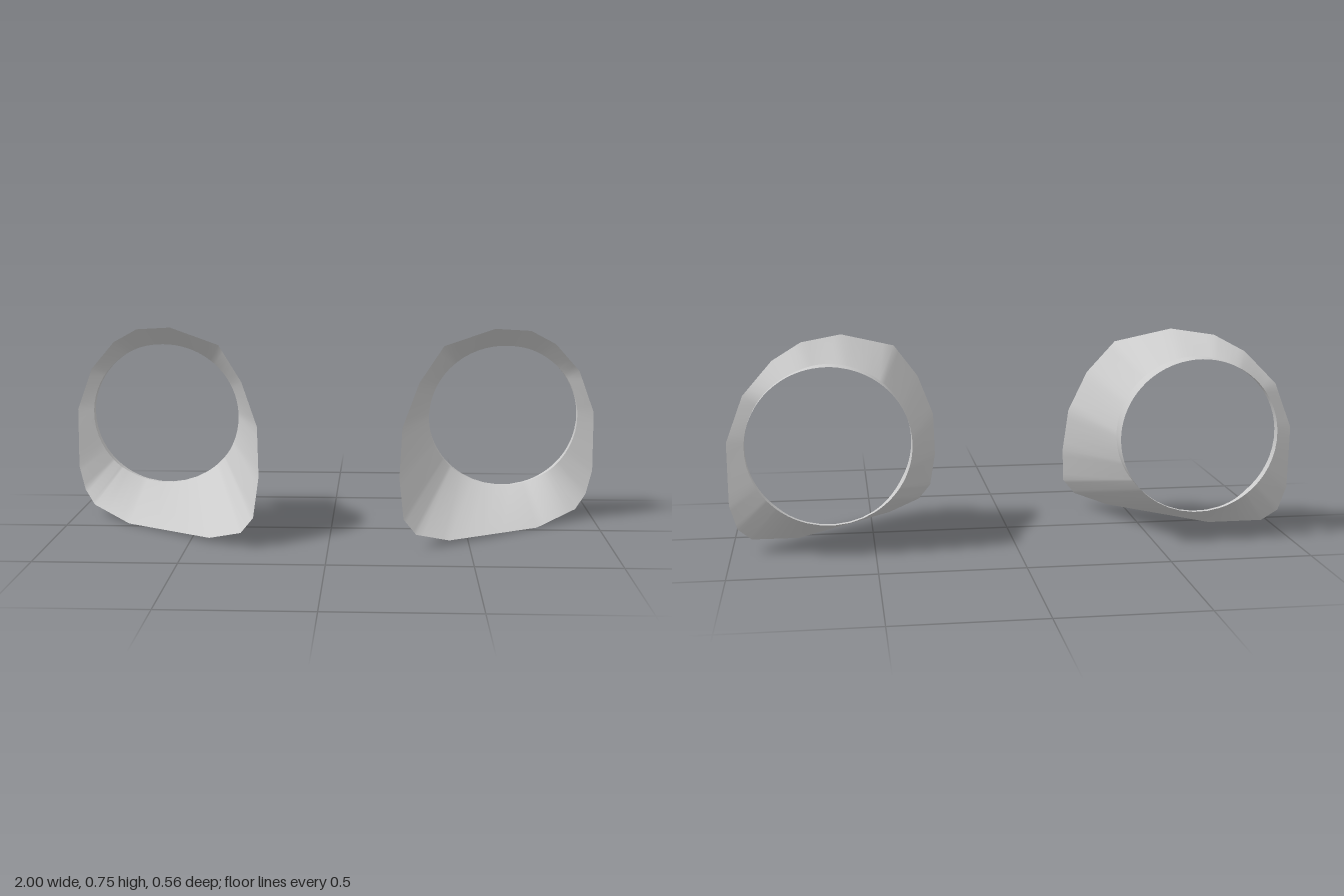
import * as THREE from 'three';

// Slanted front rim, clockwise from the top: x, y, z
const RIM = [
  [0.60, 0.745, -0.045], [0.74, 0.73, -0.125], [0.84, 0.675, -0.18], [0.94, 0.565, -0.235],
  [1.0, 0.405, -0.242], [1.0, 0.18, -0.23], [0.975, 0.09, -0.215], [0.93, 0.04, -0.17],
  [0.77, 0.0, -0.035], [0.43, 0.015, 0.22], [0.31, 0.05, 0.28], [0.265, 0.105, 0.28],
  [0.25, 0.24, 0.22], [0.26, 0.41, 0.16], [0.32, 0.565, 0.11], [0.41, 0.69, 0.04],
].map((p) => new THREE.Vector3(...p));
const CX = 0.653, CY = 0.388, RX = 0.286, RY = 0.277, BACK = -0.28, STEPS = 5;

const material = new THREE.MeshStandardMaterial({ color: 0xcccccc, side: THREE.DoubleSide });

// Front edge of the collar: shallow on the outer and lower sides
function collarFront(a) {
  const outer = THREE.MathUtils.smoothstep(Math.cos(a), 0, 0.5);
  const lower = THREE.MathUtils.smoothstep(-Math.sin(a), 0.4, 0.95);
  return -0.207 - Math.max(0.04 * outer, 0.055 * lower);
}

// Joins two closed loops of points with a smooth skin
function skin(name, front, back, side) {
  const n = front.length, positions = [], index = [];
  for (const p of [...front, ...back]) positions.push(p.x * side, p.y, p.z);
  for (let i = 0; i < n; i++) {
    const j = (i + 1) % n;
    const quad = [i, j, n + i, j, n + j, n + i];
    index.push(...(side > 0 ? quad : quad.reverse()));
  }
  const geometry = new THREE.BufferGeometry();
  geometry.setAttribute('position', new THREE.Float32BufferAttribute(positions, 3));
  geometry.setIndex(index);
  geometry.computeVertexNormals();
  const mesh = new THREE.Mesh(geometry, material);
  mesh.name = name;
  return mesh;
}

function createHousing(side) {
  const rim = [], seat = [], end = [];
  RIM.forEach((p, i) => {
    const next = RIM[(i + 1) % RIM.length];
    for (let k = 0; k < STEPS; k++) {
      const q = p.clone().lerp(next, k / STEPS);
      const a = Math.atan2(q.y - CY, q.x - CX);
      const x = CX + RX * Math.cos(a), y = CY + RY * Math.sin(a);
      rim.push(q);
      seat.push(new THREE.Vector3(x, y, collarFront(a)));
      end.push(new THREE.Vector3(x, y, BACK));
    }
  });
  const group = new THREE.Group();
  group.name = side > 0 ? 'leftHousing' : 'rightHousing';
  // Funnel from the slanted rim to the round opening, then the short collar
  group.add(skin('funnel', rim, seat, side), skin('collar', seat, end, side));
  return group;
}

export function createModel() {
  const model = new THREE.Group();
  model.name = 'pairOfHousings';
  for (const side of [1, -1]) model.add(createHousing(side));
  return model;
}
